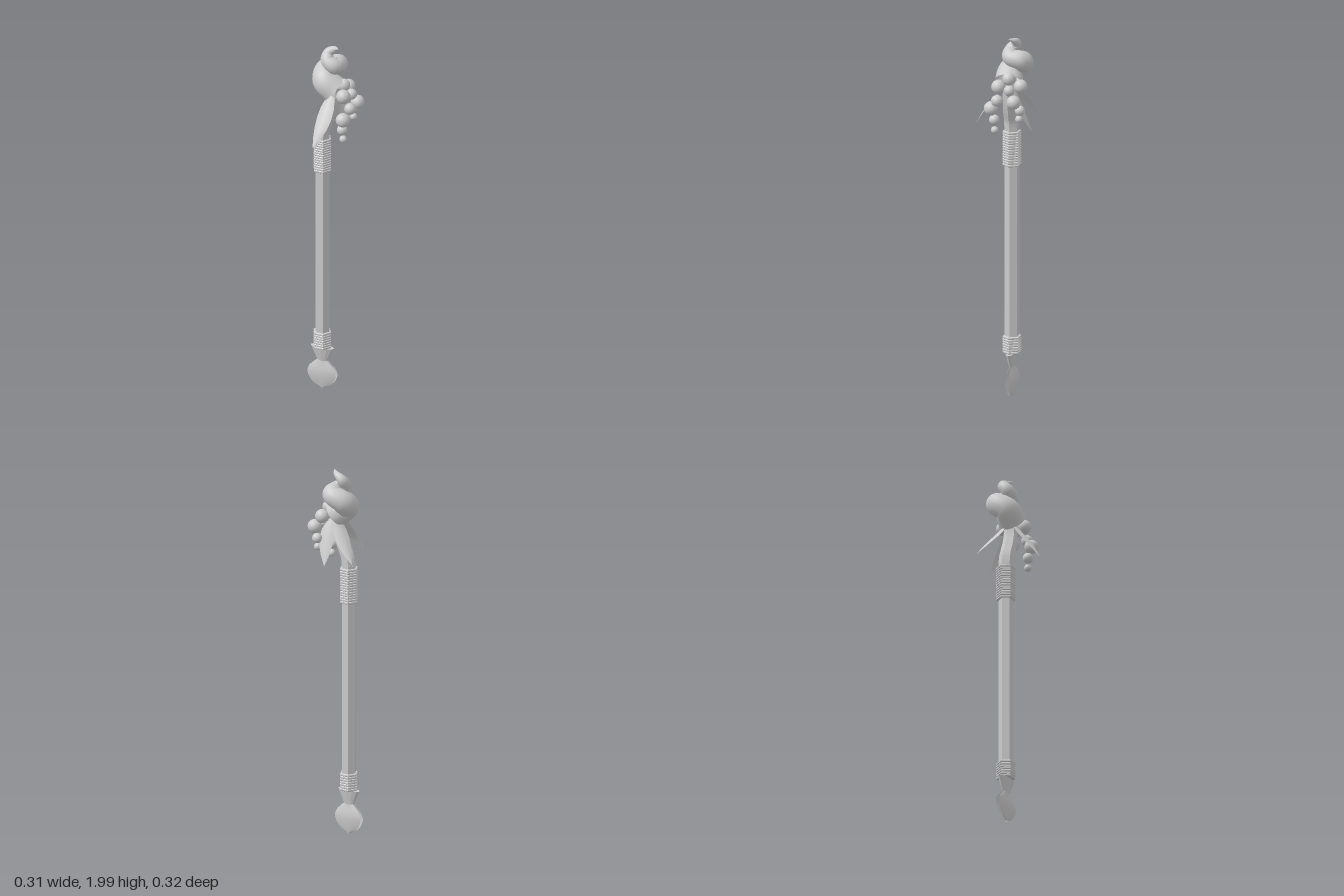
import * as THREE from 'three';

const AX = -0.053, AZ = -0.027; // shaft axis
const V = (p) => new THREE.Vector3(p[0], p[1], p[2]);
const smooth = new THREE.MeshStandardMaterial({ color: 0xcccccc, side: THREE.DoubleSide });
const flat = new THREE.MeshStandardMaterial({ color: 0xcccccc, flatShading: true, side: THREE.DoubleSide });

function add(parent, name, geometry, material, pos = [0, 0, 0]) {
  const mesh = new THREE.Mesh(geometry, material);
  mesh.name = name;
  mesh.position.set(...pos);
  parent.add(mesh);
  return mesh;
}

// Grid of points point(u, v), u and v from 0 to 1; wrap closes the v direction
function sheet(nu, nv, point, wrap = false) {
  const pos = [], idx = [], cols = wrap ? nv : nv + 1;
  for (let i = 0; i <= nu; i++)
    for (let j = 0; j < cols; j++) pos.push(...point(i / nu, j / nv));
  for (let i = 0; i < nu; i++)
    for (let j = 0; j < nv; j++) {
      const k = (j + 1) % cols;
      const a = i * cols + j, b = i * cols + k, c = a + cols, d = b + cols;
      idx.push(a, b, c, b, d, c);
    }
  const g = new THREE.BufferGeometry();
  g.setAttribute('position', new THREE.Float32BufferAttribute(pos, 3));
  g.setIndex(idx);
  g.computeVertexNormals();
  return g;
}

// Linear lookup in an evenly spaced list
function sample(list, t) {
  const f = t * (list.length - 1), i = Math.min(Math.floor(f), list.length - 2);
  return THREE.MathUtils.lerp(list[i], list[i + 1], f - i);
}

// Tube along points with a radius for every point
function taperedTube(points, radii, steps, sides) {
  const curve = new THREE.CatmullRomCurve3(points.map(V));
  const tangent = curve.getTangent(0);
  let n = new THREE.Vector3(0, 0, 1).cross(tangent).normalize();
  const frames = [];
  for (let i = 0; i <= steps; i++) {
    const t = curve.getTangent(i / steps);
    n = n.clone().addScaledVector(t, -n.dot(t)).normalize();
    frames.push({ p: curve.getPoint(i / steps), n, b: t.clone().cross(n), r: sample(radii, i / steps) });
  }
  return sheet(steps, sides, (u, v) => {
    const { p, n, b, r } = frames[Math.round(u * steps)];
    const a = -v * Math.PI * 2;
    return p.clone().addScaledVector(n, r * Math.cos(a)).addScaledVector(b, r * Math.sin(a)).toArray();
  }, true);
}

function hexPrism(r, h) {
  return new THREE.CylinderGeometry(r, r, h, 6).rotateY(Math.PI / 6);
}

// Stack of cord rings with small grooves
function binding(parent, name, y0, y1, count) {
  const group = new THREE.Group();
  group.name = name;
  const h = (y1 - y0) / count;
  for (let i = 0; i < count; i++) {
    const profile = [[0.04, -h / 2], [0.047, -h / 2], [0.051, -h / 4], [0.051, h / 4], [0.047, h / 2], [0.04, h / 2]];
    const ring = new THREE.LatheGeometry(profile.map((p) => new THREE.Vector2(...p)), 6).rotateY(Math.PI / 6);
    add(group, 'cordRing', ring, flat, [AX, y0 + h * (i + 0.5), AZ]);
  }
  parent.add(group);
}

// Leaf along a curve, widened sideways and folded at the midrib
function leaf(points, side) {
  const curve = new THREE.CatmullRomCurve3(points.map(V));
  const across = V(side).normalize();
  const widths = [0.008, 0.026, 0.039, 0.042, 0.036, 0.022, 0.001];
  return sheet(12, 4, (u, v) => {
    const s = v * 2 - 1, w = sample(widths, u);
    const up = across.clone().cross(curve.getTangent(u)).normalize();
    if (up.y < 0) up.negate();
    return curve.getPoint(u).addScaledVector(across, s * w).addScaledVector(up, -0.25 * w * s * s).toArray();
  });
}

export function createModel() {
  const model = new THREE.Group();
  model.name = 'hornStaff';

  // Shaft, bindings and bent neck
  add(model, 'shaft', hexPrism(0.04, 1.24), flat, [AX, 0.865, AZ]);
  binding(model, 'upperBinding', 1.278, 1.47, 14);
  binding(model, 'lowerBinding', 0.245, 0.34, 7);
  add(model, 'neck', taperedTube(
    [[AX, 1.46, AZ], [-0.046, 1.53, AZ], [-0.018, 1.6, -0.03], [0.008, 1.68, -0.036], [0.018, 1.79, -0.04]],
    [0.04, 0.04, 0.039, 0.037, 0.035], 14, 6), flat);

  // Flattened collar and two cupped petals at the foot
  const collar = new THREE.CylinderGeometry(0.067, 0.029, 0.08, 12).scale(1, 1, 0.4);
  add(model, 'footCollar', collar, flat, [AX, 0.205, AZ]);
  const petalWidth = [0.028, 0.05, 0.071, 0.081, 0.083, 0.077, 0.066, 0.047, 0.006];
  const petalDepth = [0.011, 0.014, 0.018, 0.021, 0.021, 0.019, 0.016, 0.012, 0.008];
  for (const s of [1, -1]) {
    const petal = sheet(16, 8, (u, v) => {
      const a = v * 2 - 1;
      return [a * sample(petalWidth, u), 0.17 - 0.165 * u, s * sample(petalDepth, u) * (1 - 0.55 * a * a)];
    });
    add(model, s > 0 ? 'frontPetal' : 'backPetal', petal, smooth, [AX, 0, AZ]);
  }

  // Coiled horn, from pointed tip to open mouth
  add(model, 'coiledHorn', taperedTube(
    [[0.033, 1.998, -0.038], [0.003, 1.983, -0.06], [-0.03, 1.957, -0.06], [-0.028, 1.925, -0.035],
      [0.01, 1.895, -0.04], [0.003, 1.88, -0.1], [-0.052, 1.845, -0.08], [-0.038, 1.805, -0.03], [0.02, 1.757, -0.035]],
    [0.002, 0.016, 0.028, 0.036, 0.044, 0.052, 0.06, 0.068, 0.074], 64, 20), smooth);

  // Drooping leaves
  add(model, 'frontLeaf', leaf(
    [[0.005, 1.75, -0.02], [0.002, 1.68, 0.035], [-0.003, 1.59, 0.105], [-0.018, 1.5, 0.16]], [1, 0, 0.05]), smooth);
  add(model, 'backLeaf', leaf(
    [[0.02, 1.75, -0.06], [0.035, 1.68, -0.095], [0.03, 1.59, -0.13], [0.012, 1.5, -0.16]], [1, 0, -0.1]), smooth);
  add(model, 'sideLeaf', leaf(
    [[0, 1.75, -0.06], [-0.04, 1.69, -0.085], [-0.095, 1.62, -0.115], [-0.157, 1.535, -0.145]], [0.45, 0, -0.9]), smooth);

  // Berries spilling from the mouth: x, y, z, radius
  const berries = [
    [0.06, 1.79, -0.05, 0.034], [0.082, 1.748, 0, 0.038], [0.057, 1.755, -0.115, 0.037],
    [0.098, 1.738, -0.065, 0.029], [0.118, 1.683, -0.097, 0.037], [0.119, 1.683, -0.005, 0.031],
    [0.097, 1.63, 0.036, 0.038], [0.086, 1.565, 0.022, 0.028], [0.09, 1.51, 0.018, 0.02],
    [0.085, 1.63, -0.12, 0.027], [0.085, 1.582, -0.115, 0.02],
  ];
  const cluster = new THREE.Group();
  cluster.name = 'berries';
  for (const [x, y, z, r] of berries) add(cluster, 'berry', new THREE.SphereGeometry(r, 20, 14), smooth, [x, y, z]);
  model.add(cluster);

  return model;
}
